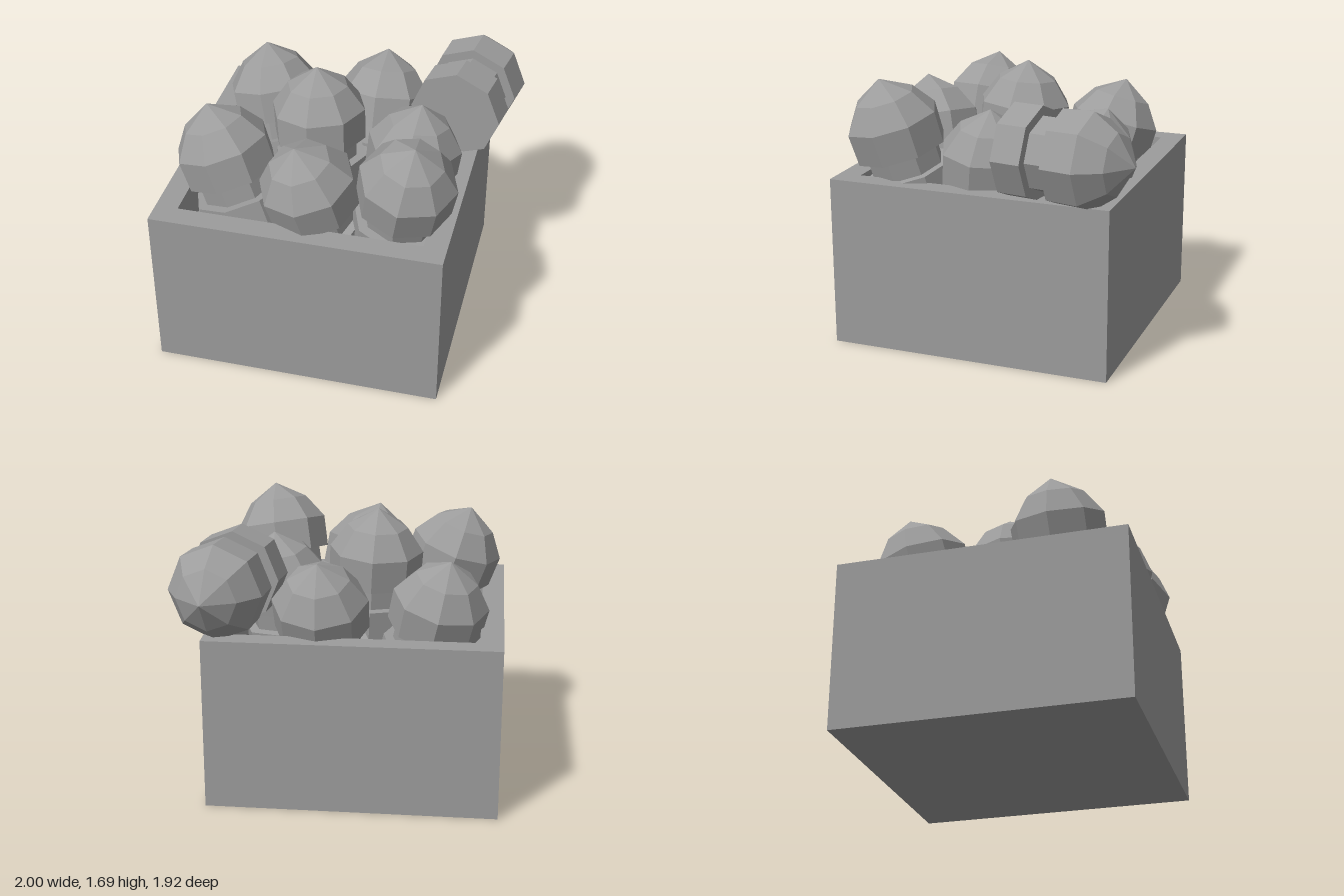
import * as THREE from 'three';

export function createModel() {
  const group = new THREE.Group();
  const material = new THREE.MeshStandardMaterial({ color: 0x9c9c9c, flatShading: true });

  // Open crate: four walls around a raised floor
  const x0 = -1, x1 = 0.782, z0 = -0.822, z1 = 0.962, height = 1.07, wall = 0.14, floorY = 0.8;
  const rect = (P, a, b, c, d) => {
    const p = new P();
    p.moveTo(a, -d); p.lineTo(b, -d); p.lineTo(b, -c); p.lineTo(a, -c); p.closePath();
    return p;
  };
  const slab = (name, shape, depth) => {
    const geometry = new THREE.ExtrudeGeometry(shape, { depth, bevelEnabled: false });
    geometry.rotateX(-Math.PI / 2);
    const mesh = new THREE.Mesh(geometry, material);
    mesh.name = name;
    group.add(mesh);
  };
  const inner = [x0 + wall, x1 - wall, z0 + wall, z1 - wall];
  const walls = rect(THREE.Shape, x0, x1, z0, z1);
  walls.holes.push(rect(THREE.Path, ...inner));
  slab('crateWalls', walls, height);
  slab('crateFloor', rect(THREE.Shape, ...inner), floorY);

  // Eight-sided shell: base rim, groove, straight body and pointed nose
  const length = 0.785;
  const profile = [
    [0, 0], [0.29, 0], [0.29, 0.19], [0.23, 0.19], [0.23, 0.32],
    [0.29, 0.32], [0.295, 0.52], [0.19, 0.67], [0, length],
  ].map(([r, y]) => new THREE.Vector2(r, y));
  const shellGeometry = new THREE.LatheGeometry(profile, 8);

  // Tip position, then the sideways lean of the axis in x and z
  const shells = [
    ['backRightShell', [-0.675, 1.5, -0.485], [-0.21, -0.22]],
    ['backMiddleShell', [0.112, 1.495, -0.6], [0.02, -0.34]],
    ['centerShell', [-0.2, 1.685, 0.03], [-0.05, -0.06]],
    ['centerLeftShell', [0.46, 1.515, 0.03], [0.11, -0.11]],
    ['frontRightShell', [-0.77, 1.6, 0.452], [-0.32, -0.06]],
    ['frontMiddleShell', [-0.157, 1.55, 0.713], [-0.19, 0.23]],
    ['frontLeftShell', [0.557, 1.668, 0.722], [0.17, 0.23]],
    ['lyingShell', [0.75, 1.33, -0.962], [0.157, -0.9876]],
  ];
  const up = new THREE.Vector3(0, 1, 0);
  for (const [name, tip, [dx, dz]] of shells) {
    const axis = new THREE.Vector3(dx, Math.sqrt(Math.max(0, 1 - dx * dx - dz * dz)), dz).normalize();
    const shell = new THREE.Mesh(shellGeometry, material);
    shell.name = name;
    if (name === 'lyingShell') {
      // Laid on its side, then turned about the vertical
      shell.rotation.set(-Math.PI / 2, Math.atan2(-dx, -dz), 0, 'YXZ');
    } else {
      shell.quaternion.setFromUnitVectors(up, axis);
    }
    shell.position.set(...tip).addScaledVector(axis, -length);
    group.add(shell);
  }
  return group;
}
